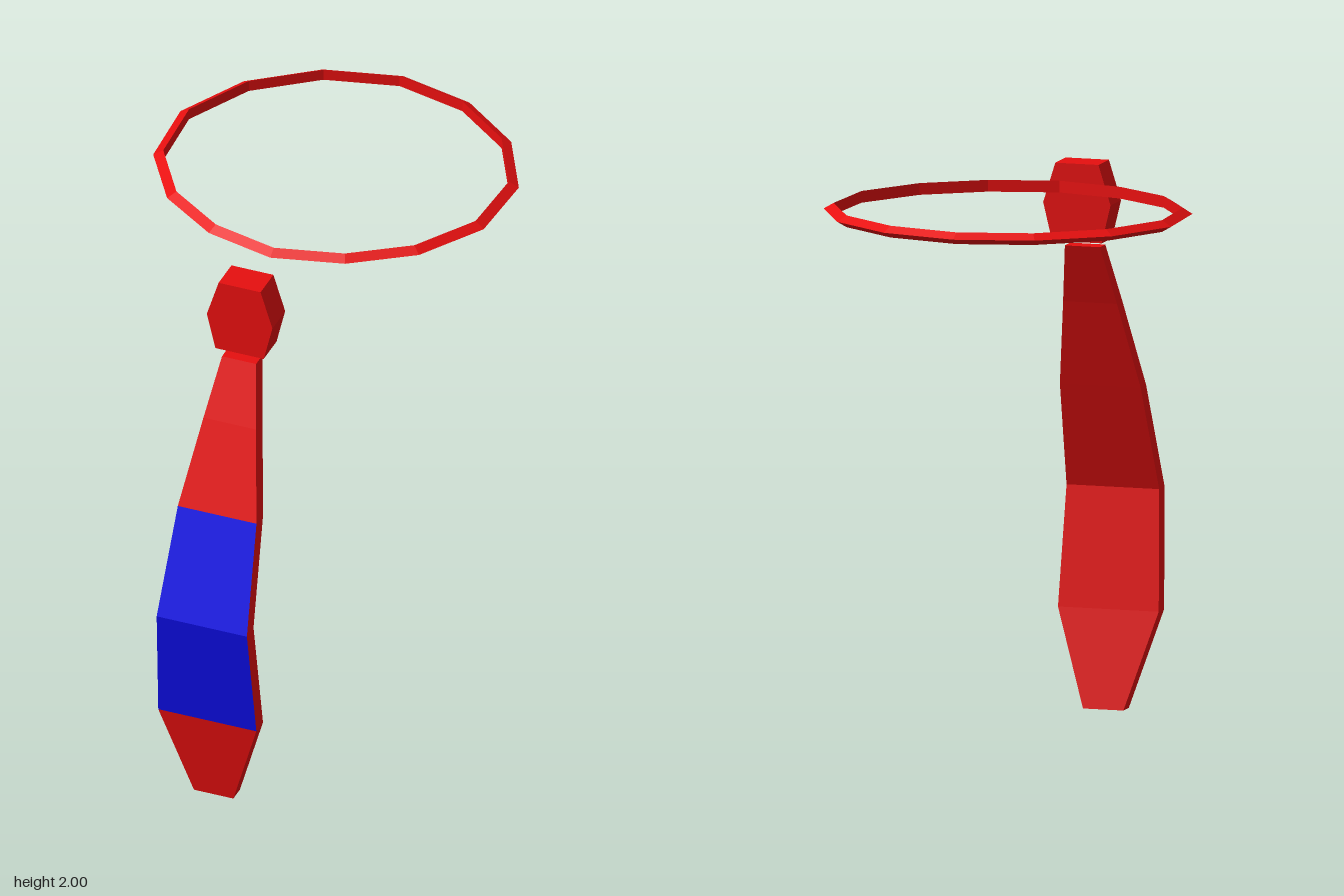
import * as THREE from 'three';

// Joins matching cross-sections with flat quads; isAccent(row, side) picks the second material
function loft(sections, { closed = false, isAccent = () => false } = {}) {
  const faces = [[], []];
  const quad = (list, a, b, c, d) => list.push(...a, ...b, ...c, ...a, ...c, ...d);
  const rows = closed ? sections.length : sections.length - 1;
  for (let i = 0; i < rows; i++) {
    const u = sections[i], l = sections[(i + 1) % sections.length];
    for (let k = 0; k < u.length; k++) {
      const n = (k + 1) % u.length;
      quad(faces[isAccent(i, k) ? 1 : 0], u[k], l[k], l[n], u[n]);
    }
  }
  if (!closed) {
    quad(faces[0], ...sections[0]);
    quad(faces[0], ...[...sections[sections.length - 1]].reverse());
  }
  const geometry = new THREE.BufferGeometry();
  geometry.setAttribute('position', new THREE.Float32BufferAttribute([...faces[0], ...faces[1]], 3));
  geometry.addGroup(0, faces[0].length / 3, 0);
  if (faces[1].length) geometry.addGroup(faces[0].length / 3, faces[1].length / 3, 1);
  geometry.computeVertexNormals();
  return geometry;
}

export function createModel() {
  const red = new THREE.MeshStandardMaterial({ color: 0xee1010, flatShading: true });
  red.name = 'red cloth';
  const blue = new THREE.MeshStandardMaterial({ color: 0x0e0eee, flatShading: true });
  blue.name = 'blue cloth';

  const group = new THREE.Group();
  group.name = 'necktie';
  const add = (name, geometry, material) => {
    const mesh = new THREE.Mesh(geometry, material);
    mesh.name = name;
    group.add(mesh);
  };

  // Hanging blade: height, half width, front depth; the blue band is on the front only
  const thickness = 0.062;
  const blade = [
    [1.695, 0.065, 0.595], [1.48, 0.1, 0.683], [1.165, 0.15, 0.8],
    [0.78, 0.172, 0.944], [0.35, 0.187, 0.892], [0, 0.075, 0.833],
  ].map(([y, w, z]) => [[-w, y, z], [w, y, z], [w, y, z - thickness], [-w, y, z - thickness]]);
  add('blade', loft(blade, { isAccent: (row, side) => side === 0 && (row === 2 || row === 3) }), [red, blue]);

  // Six-sided knot
  const outline = [[-0.08, 2], [-0.125, 1.857], [-0.092, 1.72], [0.092, 1.72], [0.125, 1.857], [0.08, 2]];
  const knot = new THREE.ExtrudeGeometry(
    new THREE.Shape(outline.map(([x, y]) => new THREE.Vector2(x, y))),
    { depth: 0.12, bevelEnabled: false });
  knot.translate(0, 0, 0.47);
  add('knot', knot, red);

  // Neck loop: a wedge section, pointed outward, around a 14-sided path
  const half = [[0.28, -0.875], [0.51, -0.7], [0.645, -0.44], [0.63, -0.148], [0.48, 0.09], [0.26, 0.24]];
  const path = [[0, -0.943], ...half, [0, 0.304], ...half.map(([x, z]) => [-x, z]).reverse()];
  const centreZ = -0.32, inset = 0.945;
  const loop = path.map(([x, z]) => {
    const ix = x * inset, iz = centreZ + (z - centreZ) * inset;
    return [[x, 1.95, z], [ix, 1.929, iz], [ix, 1.971, iz]];
  });
  add('neckLoop', loft(loop, { closed: true }), [red]);

  return group;
}
